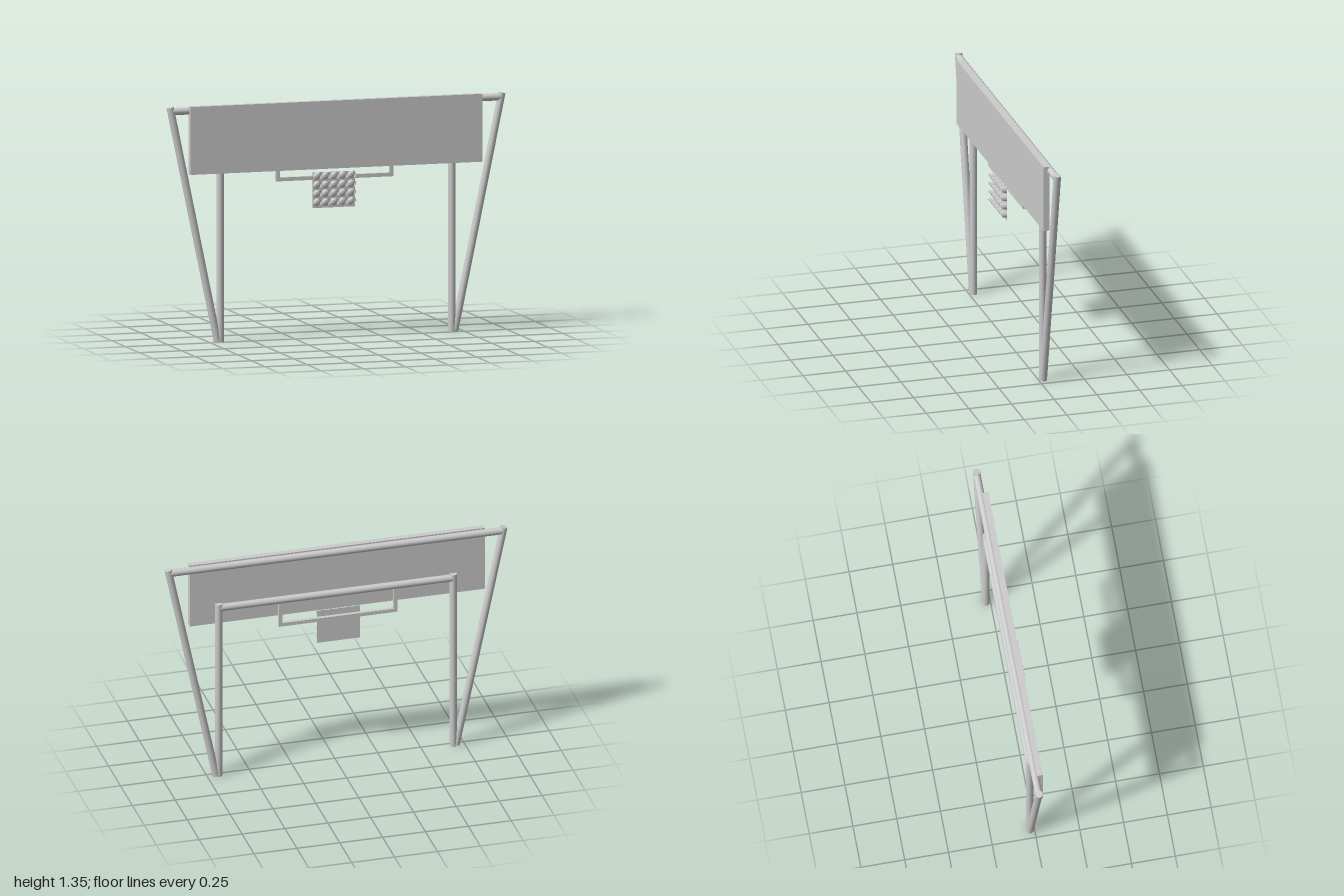
import * as THREE from 'three';

const material = new THREE.MeshStandardMaterial({ color: 0xcccccc });
const thinMaterial = new THREE.MeshStandardMaterial({ color: 0xcccccc, side: THREE.DoubleSide });

const POLE_Z = -0.025;
const POLE_R = 0.021;

export function createModel() {
  const model = new THREE.Group();
  model.name = 'overheadSignGantry';

  const add = (name, geometry, x, y, z, mat = material, parent = model) => {
    const mesh = new THREE.Mesh(geometry, mat);
    mesh.name = name;
    mesh.position.set(x, y, z);
    parent.add(mesh);
    return mesh;
  };

  // Round pole between two points in the frame plane
  const pole = (name, x0, y0, x1, y1) => {
    const dir = new THREE.Vector3(x1 - x0, y1 - y0, 0);
    const geometry = new THREE.CylinderGeometry(POLE_R, POLE_R, dir.length(), 20);
    const mesh = add(name, geometry, (x0 + x1) / 2, (y0 + y1) / 2, POLE_Z);
    mesh.quaternion.setFromUnitVectors(new THREE.Vector3(0, 1, 0), dir.normalize());
  };

  // Box given by its two corners
  const box = (name, x0, x1, y0, y1, z0, z1) =>
    add(name, new THREE.BoxGeometry(x1 - x0, y1 - y0, z1 - z0),
      (x0 + x1) / 2, (y0 + y1) / 2, (z0 + z1) / 2);

  // Support frame: upright and outward-leaning leg on each side
  for (const [side, s] of [['left', 1], ['right', -1]]) {
    pole(side + 'Upright', s * 0.684, 0, s * 0.684, 1.085);
    pole(side + 'SlantedLeg', s * 0.7, 0.004, s * 0.979, 1.341);
  }
  pole('topCrossbar', -0.97, 1.318, 0.97, 1.318);
  pole('lowerCrossbar', -0.684, 1.06, 0.684, 1.06);

  // Sign board
  box('signBoard', -0.872, 0.85, 0.96, 1.345, -0.017, 0.018);

  // Hanging bracket
  box('bracketRightArm', -0.356, -0.335, 0.896, 1.05, -0.036, -0.014);
  box('bracketLeftArm', 0.315, 0.336, 0.896, 1.05, -0.036, -0.014);
  box('bracketRail', -0.335, 0.315, 0.896, 0.917, -0.036, -0.014);

  // Lamp visor: open-bottomed tube, its mouth cut back towards the bottom
  const R = 0.022;
  const visor = new THREE.PlaneGeometry(2, 1, 20, 2);
  const p = visor.attributes.position;
  for (let i = 0; i < p.count; i++) {
    const t = p.getY(i) + 0.5;
    const angle = p.getX(i) * THREE.MathUtils.lerp(2.35, 1.87, t);
    const h = Math.cos(angle);
    p.setXYZ(i, R * Math.sin(angle), R * h, t * (0.031 + 0.011 * h));
  }
  visor.computeVertexNormals();

  // Shallow domed lens
  const lens = new THREE.SphereGeometry(0.02, 16, 5, 0, Math.PI * 2, 0, Math.PI / 2);
  lens.rotateX(Math.PI / 2);
  lens.scale(1, 1, 0.5);

  // Lamp panel: five strips of four hooded lamps
  const lamps = new THREE.Group();
  lamps.name = 'signalLampPanel';
  model.add(lamps);
  const strip = new THREE.PlaneGeometry(0.0504, 0.202);
  for (let c = 0; c < 5; c++) {
    const x = -0.125 + c * 0.0504;
    add('lampStrip', strip, x, 0.84, 0.01, thinMaterial, lamps);
    for (let r = 0; r < 4; r++) {
      const y = 0.919 - r * 0.0495;
      add('lampLens', lens, x, y, 0.01, material, lamps);
      add('lampVisor', visor, x, y, 0.01, thinMaterial, lamps);
    }
  }

  return model;
}
